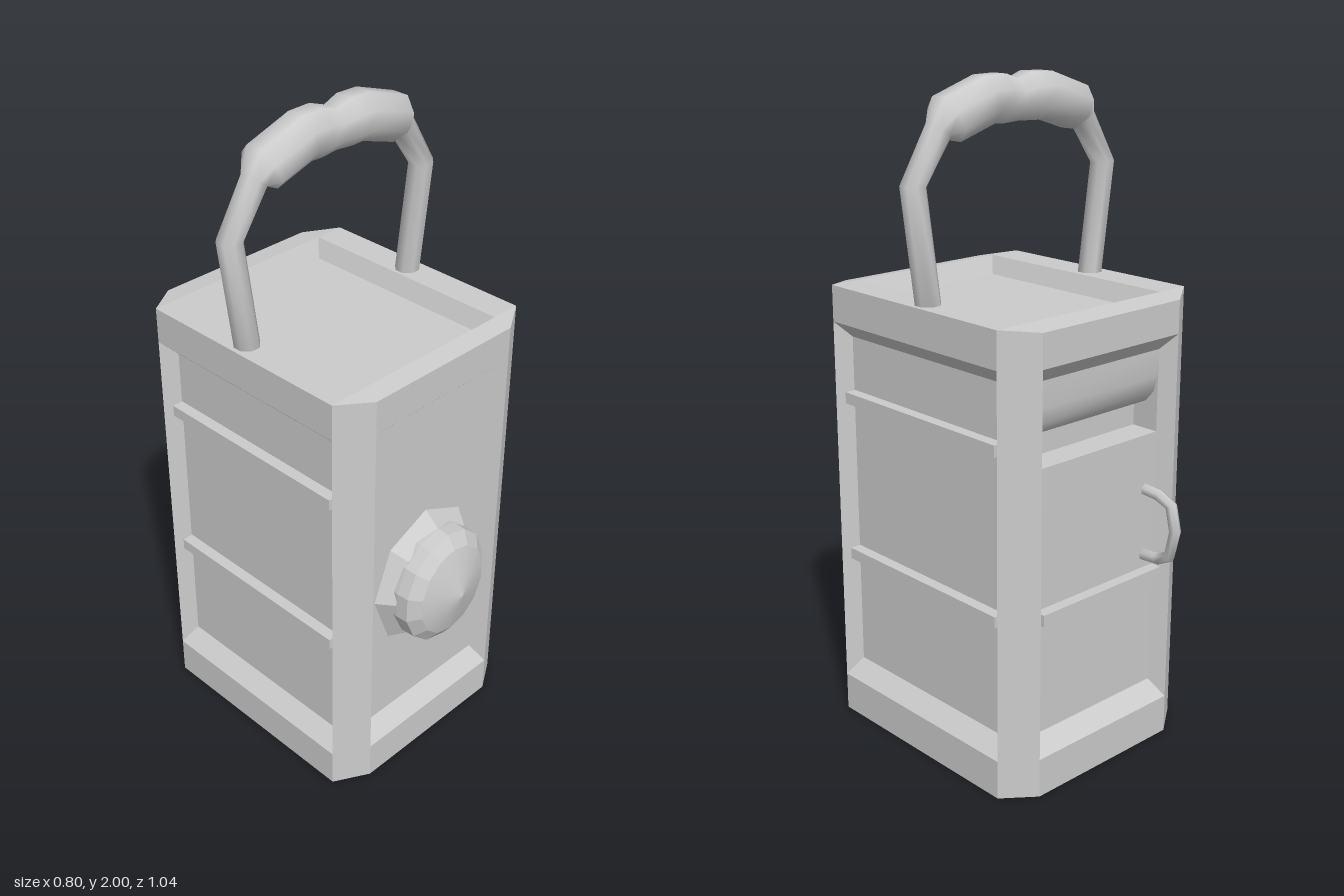
import * as THREE from 'three';
import { mergeVertices } from 'three/addons/utils/BufferGeometryUtils.js';

const TOP = 1.38, DEPTH = 0.05, INSET = 0.025;
const HX = 0.37, HZ = 0.4225, FX = 0.27, FZ = 0.356; // half sizes and half flat widths
const SX = 0.005, SZ = 0.008; // the flats sit slightly off centre

const grey = new THREE.MeshStandardMaterial({ color: 0xcccccc });
const flat = new THREE.MeshStandardMaterial({ color: 0xcccccc, flatShading: true });

function named(name, geometry, material = flat) {
  const mesh = new THREE.Mesh(geometry, material);
  mesh.name = name;
  return mesh;
}

// Faces fanned from their first corner, counter-clockwise from outside
function faces(list) {
  const pos = [];
  for (const f of list)
    for (let i = 1; i < f.length - 1; i++) pos.push(...f[0], ...f[i], ...f[i + 1]);
  const g = new THREE.BufferGeometry();
  g.setAttribute('position', new THREE.Float32BufferAttribute(pos, 3));
  g.computeVertexNormals();
  return g;
}

function smooth(geometry) {
  geometry.deleteAttribute('normal');
  const g = mergeVertices(geometry);
  g.computeVertexNormals();
  return g;
}

// Quads joining loop a to loop b; loops counter-clockwise seen from the outside
const bridge = (a, b) => a.map((p, i) => {
  const j = (i + 1) % a.length;
  return [p, a[j], b[j], b[i]];
});

const rect = (w, y0, y1, z) => [[-w, y0, z], [w, y0, z], [w, y1, z], [-w, y1, z]];

// One wall facing +z at distance d, with a bevelled sunken panel
function wall(name, w, d, bars, hatch) {
  const g = new THREE.Group();
  g.name = name;
  const iw = w - INSET, z = d - DEPTH, zi = z - 0.09;
  const list = [
    rect(w, 0, 0.12, d), rect(w, 1.28, TOP, d),
    ...bridge(rect(w, 0.12, 1.28, d), rect(iw, 0.17, 1.23, z)),
  ];
  if (hatch) {
    // Lower door with a ledge, a deep slot and a rounded hood above it
    const hood = [[1.05, zi], [1.065, d - 0.095], [1.1, d - 0.065], [1.15, d - 0.052], [1.23, z]];
    const cheek = (x) => [[0.98, z], [0.98, zi], ...hood].map(([y, c]) => [x, y, c]);
    list.push(rect(iw, 0.17, 0.98, z), rect(iw, 0.98, 1.05, zi),
      [[-iw, 0.98, z], [iw, 0.98, z], [iw, 0.98, zi], [-iw, 0.98, zi]], cheek(-iw));
    const [first, ...rest] = cheek(iw);
    list.push([first, ...rest.reverse()]);
    const strips = hood.slice(1).map(([y, c], i) => {
      const [y0, c0] = hood[i];
      return [[-iw, y0, c0], [iw, y0, c0], [iw, y, c], [-iw, y, c]];
    });
    g.add(named('hood', smooth(faces(strips)), grey));
  } else list.push(rect(iw, 0.17, 1.23, z));
  g.add(named(name + 'Panel', faces(list)));
  for (const y of bars) {
    const bar = named('bar', new THREE.BoxGeometry(2 * (w - 0.027), 0.035, 0.045));
    bar.position.set(0, y, z + 0.0125);
    g.add(bar);
  }
  return g;
}

// Tube with a radius at every path point [x, y, z, r]; the path lies in a plane
function taperedTube(path, sides) {
  const pts = path.map((p) => new THREE.Vector3(p[0], p[1], p[2]));
  const side = pts[1].clone().sub(pts[0]).cross(pts[2].clone().sub(pts[1])).normalize();
  const pos = [], idx = [], n = pts.length, end = (n - 1) * sides;
  pts.forEach((p, i) => {
    const t = pts[Math.min(i + 1, n - 1)].clone().sub(pts[Math.max(i - 1, 0)]).normalize();
    const up = t.clone().cross(side);
    for (let k = 0; k < sides; k++) {
      const a = ((k + 0.5) / sides) * Math.PI * 2, r = path[i][3] / Math.cos(Math.PI / sides);
      const v = p.clone().addScaledVector(side, Math.cos(a) * r).addScaledVector(up, Math.sin(a) * r);
      pos.push(v.x, v.y, v.z);
      if (i < n - 1) {
        const q = i * sides + k, s = i * sides + ((k + 1) % sides);
        idx.push(q, s, q + sides, s, s + sides, q + sides);
      }
    }
  });
  for (let k = 1; k < sides - 1; k++) idx.push(0, k + 1, k, end, end + k, end + k + 1);
  const g = new THREE.BufferGeometry();
  g.setAttribute('position', new THREE.Float32BufferAttribute(pos, 3));
  g.setIndex(idx);
  g.computeVertexNormals();
  return g;
}

// Eight-cornered plan, counter-clockwise seen from above; s shrinks it
const octagon = (yAt, s = 0) => [
  [HX - s, SZ - FZ], [SX + FX, s - HZ], [SX - FX, s - HZ], [s - HX, SZ - FZ],
  [s - HX, SZ + FZ], [SX - FX, HZ - s], [SX + FX, HZ - s], [HX - s, SZ + FZ],
].map(([x, z]) => [x, yAt(x), z]);

function createBody() {
  const body = new THREE.Group();
  body.name = 'body';
  const bars = [1.0475, 0.5425];
  const walls = [
    wall('front', FX, HZ, [], false), wall('leftSide', FZ, HX, bars, false),
    wall('back', FX, HZ, [bars[1]], true), wall('rightSide', FZ, HX, bars, false),
  ];
  const shifts = [SX, -SZ, -SX, SZ];
  walls.forEach((w, i) => {
    w.rotation.y = (i * Math.PI) / 2;
    w.translateX(shifts[i]);
    body.add(w);
  });

  // Chamfered corner posts
  const low = octagon(() => 0), high = octagon(() => TOP);
  const posts = [0, 2, 4, 6].map((i) => [low[i], low[i + 1], high[i + 1], high[i]]);
  body.add(named('cornerPosts', faces(posts)));

  // Top frame and sunken tray
  const rim = octagon((x) => (Math.abs(x) > 0.3 ? 1.39 : TOP));
  const tray = (x, y, z) => [[SX + x, y, SZ - z], [SX - x, y, SZ - z], [SX - x, y, SZ + z], [SX + x, y, SZ + z]];
  const outer = tray(FX, 1.39, FZ), inner = tray(FX - 0.025, 1.335, FZ - 0.028);
  const lid = [...bridge(outer, inner), inner, ...bridge(high, rim)];
  for (let c = 0; c < 4; c++) {
    const a = rim[2 * c], b = rim[2 * c + 1], n = rim[(2 * c + 2) % 8];
    lid.push([a, b, outer[c]], [b, n, outer[(c + 1) % 4], outer[c]]);
  }
  body.add(named('topFrame', faces(lid)));

  // Thin rim around the sunken base
  const foot = octagon(() => 0).reverse(), edge = octagon(() => 0, 0.025).reverse();
  const floor = octagon(() => 0.04, 0.025).reverse();
  body.add(named('base', faces([...bridge(foot, edge), ...bridge(edge, floor), floor])));
  body.position.z = -0.0125;
  return body;
}

function createLamp() {
  const lamp = new THREE.Group();
  lamp.name = 'lamp';
  const mount = named('lampBezel', new THREE.CylinderGeometry(0.172, 0.21, 0.05, 8).rotateX(Math.PI / 2));
  mount.position.z = 0.384;
  const turn = (profile) => new THREE.LatheGeometry(
    profile.map(([r, z]) => new THREE.Vector2(r, z)), 14).rotateX(Math.PI / 2);
  lamp.add(mount,
    named('lensRim', turn([[0.168, 0.36], [0.172, 0.41], [0.17, 0.448], [0.135, 0.477]])),
    named('lens', turn([[0.135, 0.477], [0.07, 0.499], [0, 0.518]]), grey));
  lamp.scale.y = 1.11;
  lamp.position.set(0.004, 0.628, 0);
  return lamp;
}

export function createModel() {
  const model = new THREE.Group();
  model.name = 'lantern';
  model.add(createBody(), createLamp());

  // Carrying handle with a two-lobed grip
  const half = [
    [0.32, 1.385, 0.035], [0.366, 1.72, 0.035], [0.275, 1.86, 0.037],
    [0.245, 1.888, 0.066], [0.11, 1.932, 0.067], [0.055, 1.932, 0.067],
  ];
  const path = [
    ...half.map(([x, y, r]) => [-x, y, -0.027, r]), [0, 1.925, -0.027, 0.057],
    ...half.slice().reverse().map(([x, y, r]) => [x, y, -0.027, r]),
  ];
  model.add(named('carryHandle', taperedTube(path, 8), grey));

  // Small pull on the back door
  const pull = [[0.81, -0.37], [0.805, -0.44], [0.785, -0.487], [0.71, -0.505], [0.625, -0.485], [0.605, -0.44], [0.6, -0.37]];
  model.add(named('doorPull', taperedTube(pull.map(([y, z]) => [-0.2, y, z, 0.016]), 6), grey));
  return model;
}
